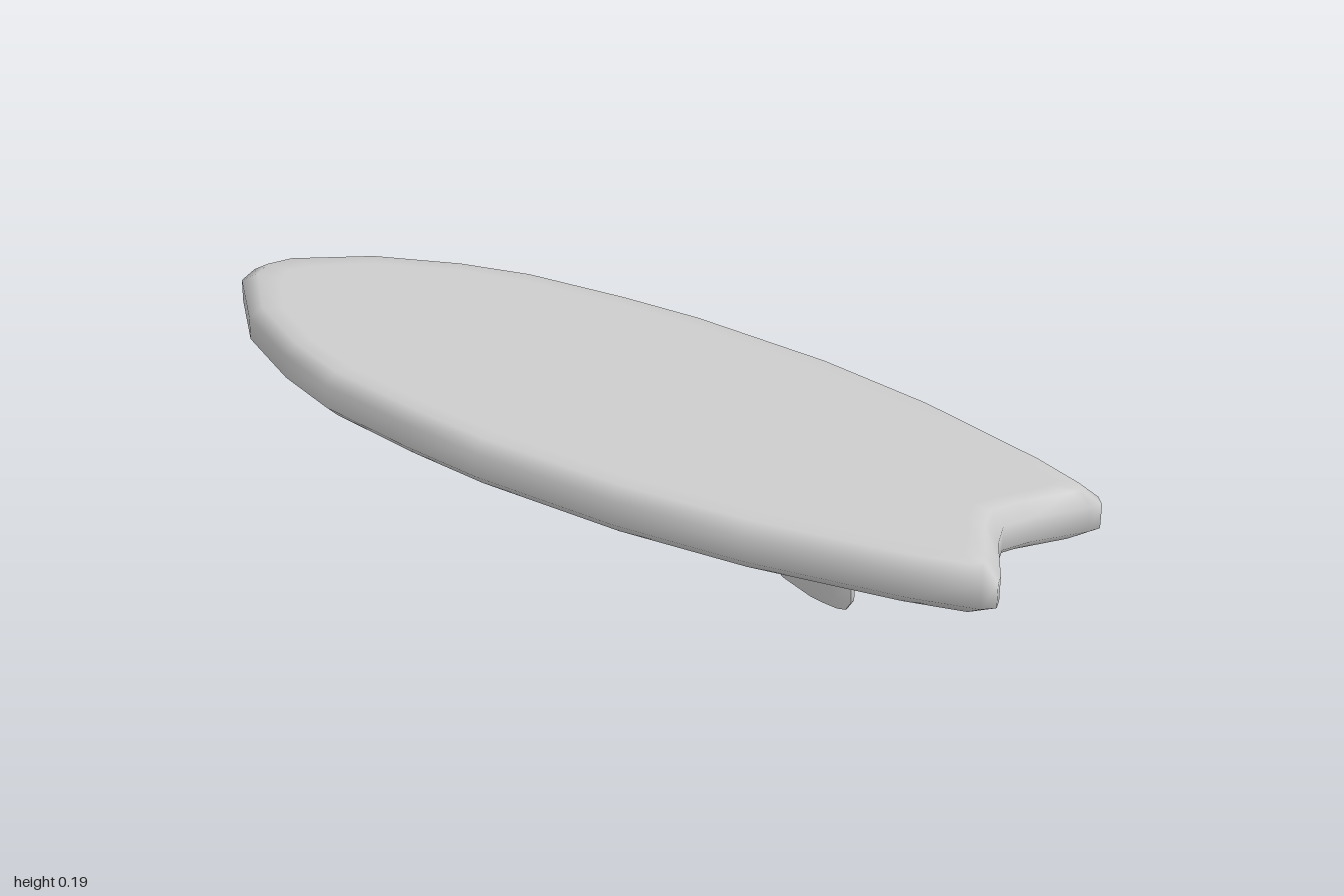
import * as THREE from 'three';
import { toCreasedNormals } from 'three/addons/utils/BufferGeometryUtils.js';

// Half outline, nose to tail notch: rail x, z, then the flat deck edge x, z
const OUTLINE = [
  [0, -1, 0, -0.9], [0.06, -0.98, 0.045, -0.88], [0.19, -0.83, 0.15, -0.77],
  [0.28, -0.64, 0.23, -0.61], [0.33, -0.48, 0.275, -0.46], [0.36, -0.24, 0.305, -0.23],
  [0.373, -0.05, 0.317, -0.05], [0.362, 0.28, 0.307, 0.27], [0.325, 0.55, 0.27, 0.53],
  [0.25, 0.86, 0.205, 0.8], [0.207, 0.98, 0.172, 0.9], [0.185, 1, 0.155, 0.905],
  [0.16, 0.99, 0.14, 0.9], [0.06, 0.925, 0.05, 0.85], [0, 0.9, 0, 0.83],
];

// Closed ring at height y from half a section, mirrored across x = 0
function mirrorRing(half, y) {
  const other = half.filter(([x]) => x > 0).reverse().map(([x, z]) => [-x, z]);
  return [...half, ...other].map(([x, z]) => [x, y, z]);
}

// Skin rings from the bottom up and close both ends
function loft(rings) {
  const n = rings[0].length;
  const index = [];
  for (let k = 0; k < rings.length - 1; k++) {
    for (let i = 0; i < n; i++) {
      const j = (i + 1) % n;
      const a = k * n + i, b = k * n + j, c = a + n, d = b + n;
      index.push(a, c, b, b, c, d);
    }
  }
  const cap = (k, up) => {
    const pts = rings[k].map(([x, , z]) => new THREE.Vector2(x, z));
    for (const [a, b, c] of THREE.ShapeUtils.triangulateShape(pts.slice(), [])) {
      const p = pts[a], q = pts[b], r = pts[c];
      const facesUp = (q.y - p.y) * (r.x - p.x) - (q.x - p.x) * (r.y - p.y) > 0;
      const t = facesUp === up ? [a, b, c] : [a, c, b];
      index.push(...t.map((v) => v + k * n));
    }
  };
  cap(0, false);
  cap(rings.length - 1, true);
  const g = new THREE.BufferGeometry();
  g.setAttribute('position', new THREE.Float32BufferAttribute(rings.flat(2), 3));
  g.setIndex(index);
  g.computeVertexNormals();
  return g;
}

// Board: rounded rail running into flat deck and bottom
function boardGeometry() {
  const profile = [[1, 0.098], [0.42, 0.098], [0, 0.122], [0, 0.172], [0.42, 0.196], [1, 0.196]];
  return loft(profile.map(([t, y]) => mirrorRing(
    OUTLINE.map(([x, z, xi, zi]) => [x + (xi - x) * t, z + (zi - z) * t]), y)));
}

// Fin: raked leading edge, upright trailing edge at z = 0, narrowing to the tip
function finGeometry() {
  const levels = [ // y, front z, back z, half thickness
    [0.002, -0.09, -0.012, 0.009], [0.022, -0.15, 0, 0.013],
    [0.055, -0.2, 0, 0.018], [0.085, -0.235, 0, 0.023], [0.11, -0.255, 0, 0.025],
  ];
  const section = [[0, 0.12], [0.4, 0.7], [0.8, 1], [1, 0.4]];
  const rings = levels.map(([y, f, b, w]) =>
    mirrorRing(section.map(([t, s]) => [s * w, f + (b - f) * t]), y));
  return toCreasedNormals(loft(rings), 0.6);
}

export function createModel() {
  const group = new THREE.Group();
  const paleGrey = new THREE.MeshStandardMaterial({ color: 0xcccccc });
  paleGrey.name = 'paleGrey';

  const board = new THREE.Mesh(boardGeometry(), paleGrey);
  board.name = 'board';
  group.add(board);

  // Tail fin and the pair ahead of it
  const geometry = finGeometry();
  const fins = [
    ['centreFin', -0.002, 0.845, 0],
    ['leftFin', 0.207, 0.695, 0],
    ['rightFin', -0.178, 0.695, 0.03],
  ];
  for (const [name, x, z, turn] of fins) {
    const fin = new THREE.Mesh(geometry, paleGrey);
    fin.name = name;
    fin.position.set(x, 0, z);
    fin.rotation.y = turn;
    group.add(fin);
  }
  return group;
}
